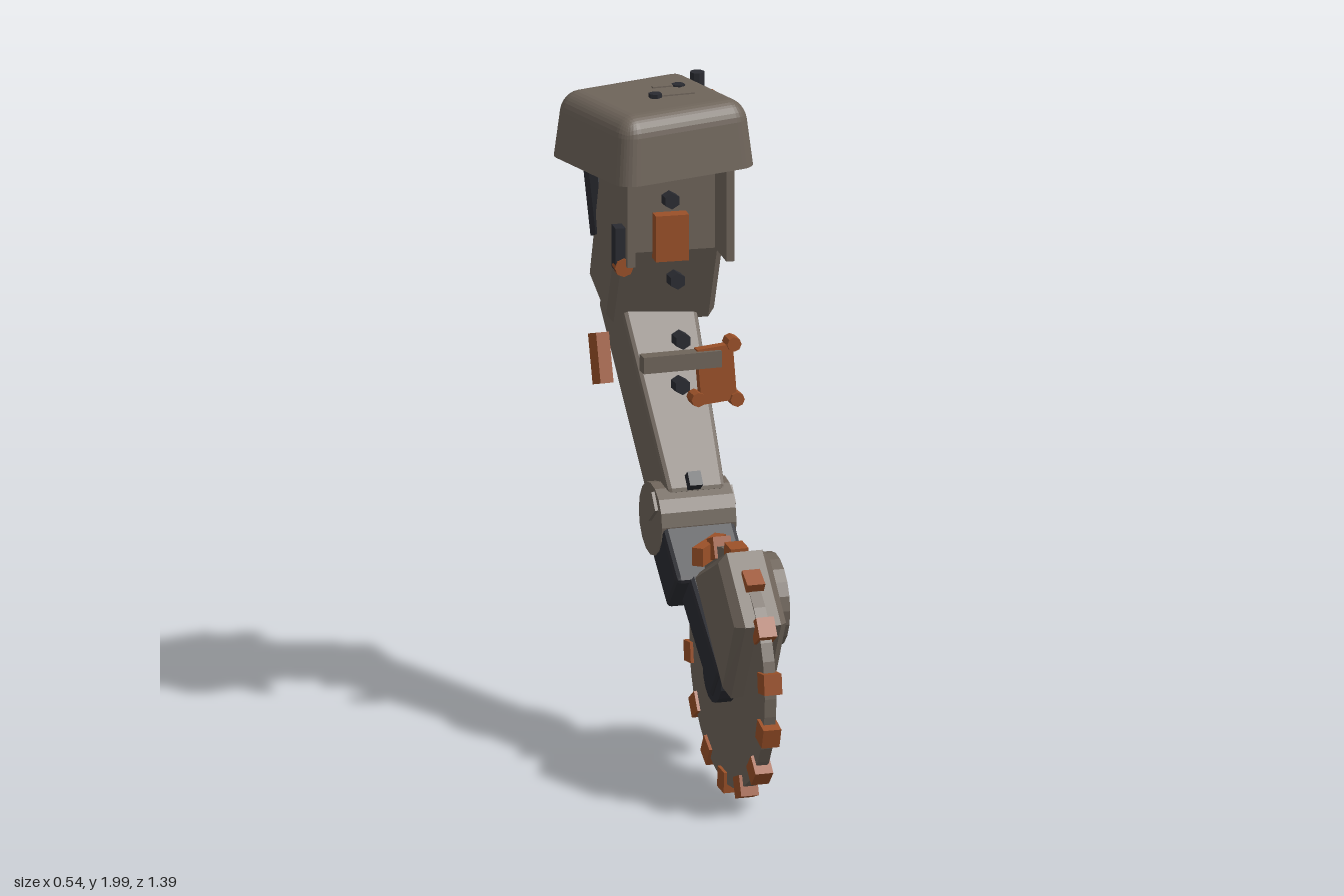
import * as THREE from 'three';
import { RoundedBoxGeometry } from 'three/addons/geometries/RoundedBoxGeometry.js';

const mat = (color, flatShading = true) => new THREE.MeshStandardMaterial({ color, flatShading });
const GREY = mat(0x6e645a), SMOOTH = mat(0x6e645a, false);
const DARK = mat(0x2a2b31), ORANGE = mat(0x9a5028);

export function createModel() {
  const root = new THREE.Group();

  const add = (name, geo, material, pos = [0, 0, 0], rot = [0, 0, 0], parent = root) => {
    const m = new THREE.Mesh(geo, material);
    m.name = name;
    m.position.set(...pos);
    m.rotation.set(...rot);
    parent.add(m);
    return m;
  };
  const box = (name, material, size, pos, rot, parent) =>
    add(name, new THREE.BoxGeometry(...size), material, pos, rot, parent);

  // Cylinder along a chosen axis
  const cyl = (name, material, r, len, axis, pos, sides = 20, parent = root) => {
    const g = new THREE.CylinderGeometry(r, r, len, sides);
    if (axis === 'x') g.rotateZ(Math.PI / 2);
    if (axis === 'z') g.rotateX(Math.PI / 2);
    return add(name, g, material, pos, [0, 0, 0], parent);
  };

  // Side profile given as [z, y] points, extruded along x with a bevel
  const profile = (name, material, pts, x0, x1, bevel, parent = root) => {
    const shape = new THREE.Shape(pts.map(([z, y]) => new THREE.Vector2(-z, y)));
    const g = new THREE.ExtrudeGeometry(shape, {
      depth: x1 - x0 - 2 * bevel, bevelEnabled: bevel > 0, bevelSize: bevel,
      bevelThickness: bevel, bevelOffset: -bevel, bevelSegments: 1,
    });
    g.rotateY(Math.PI / 2);
    return add(name, g, material, [x0 + bevel, 0, 0], [0, 0, 0], parent);
  };

  // Beam between two [z, y] points, with a width at each end
  const beam = (name, material, a, b, x, wA, wB, thick, bevel = 0.015) => {
    const dz = b[0] - a[0], dy = b[1] - a[1], len = Math.hypot(dz, dy);
    const g = new RoundedBoxGeometry(1, len, thick, 1, bevel);
    const p = g.attributes.position;
    for (let i = 0; i < p.count; i++) {
      const t = p.getY(i) / len + 0.5, w = wA + (wB - wA) * t;
      // keep the bevel the same size while the width changes
      const s = Math.sign(p.getX(i));
      p.setX(i, s * (w / 2 - (0.5 - Math.abs(p.getX(i)))));
    }
    g.computeVertexNormals();
    return add(name, g, material, [x, (a[1] + b[1]) / 2, (a[0] + b[0]) / 2], [Math.atan2(dz, dy), 0, 0]);
  };

  // Saw blade with square teeth
  const BX = 0.046, BY = 0.395, BZ = 0.302;
  const blade = new THREE.Group();
  blade.name = 'sawBlade';
  blade.position.set(BX, BY, BZ);
  root.add(blade);
  cyl('bladeDisc', GREY, 0.357, 0.036, 'x', [0, 0, 0], 40, blade);
  for (let i = 0; i < 14; i++) {
    const a = (i / 14) * Math.PI * 2 - 0.09;
    box('tooth', ORANGE, [0.055, 0.064, 0.062],
      [0, -Math.cos(a) * 0.352, Math.sin(a) * 0.352], [-a, 0, 0], blade);
  }
  cyl('bladeHub', DARK, 0.09, 0.14, 'x', [BX + 0.005, 0.385, 0.305], 16);

  // Blade guard
  profile('bladeGuard', GREY,
    [[0.414, 0.78], [0.16, 0.65], [0.456, 0.347], [0.594, 0.6]], -0.035, 0.125, 0.025);

  // Wrist and blade arm
  beam('bladeArm', DARK, [0.35, 0.355], [-0.05, 0.67], 0.046, 0.145, 0.145, 0.125);
  beam('wristBlock', DARK, [0.07, 0.56], [-0.12, 0.73], 0.046, 0.225, 0.225, 0.15);
  cyl('motor', GREY, 0.14, 0.17, 'x', [0.185, 0.505, 0.018], 20);
  box('handleBar', ORANGE, [0.17, 0.055, 0.035], [0.025, 0.71, 0.14], [0, 0.85, 0]);

  // Elbow joint with collar and pins
  cyl('elbowJoint', GREY, 0.11, 0.23, 'x', [0.046, 0.74, -0.125], 16);
  box('elbowCollar', GREY, [0.25, 0.06, 0.08], [0.046, 0.785, -0.1], [-0.65, 0, 0]);
  box('elbowPin', DARK, [0.04, 0.045, 0.045], [0.046, 0.86, -0.07], [-0.65, 0, 0]);
  box('elbowPin', DARK, [0.04, 0.05, 0.045], [0.155, 0.775, -0.15], [-0.65, 0, 0]);
  box('elbowPin', DARK, [0.12, 0.05, 0.045], [0.05, 0.695, -0.23], [-0.65, 0, 0]);

  // Forearm and the plate on its back
  beam('forearm', GREY, [-0.14, 0.77], [-0.56, 1.32], 0.055, 0.18, 0.24, 0.2);
  box('forearmPlate', ORANGE, [0.04, 0.15, 0.08], [-0.09, 1.12, -0.53], [-0.3, 0, 0]);
  box('kneeHinge', DARK, [0.05, 0.13, 0.05], [0.05, 1.285, -0.645], [-0.6, 0, 0]);
  cyl('kneePin', DARK, 0.045, 0.2, 'x', [0.055, 1.31, -0.61], 10);

  // Upper arm, turned slightly, with cheek plates
  const upper = new THREE.Group();
  upper.name = 'upperArm';
  upper.position.set(0.055, 0, -0.4);
  upper.rotation.y = -0.09;
  root.add(upper);
  const back = [[-0.035, 1.94], [0.1, 1.9], [0.1, 1.5], [-0.02, 1.255], [-0.27, 1.33]];
  profile('upperArmBody', GREY, back, -0.16, 0.165, 0.02, upper);
  const cheek = [[0.06, 1.86], [0.25, 1.8], [0.25, 1.5], [0.06, 1.5]];
  profile('cheekPlate', GREY, cheek, -0.16, -0.135, 0, upper);
  profile('cheekPlate', GREY, cheek, 0.138, 0.163, 0, upper);
  box('frontBox', ORANGE, [0.1, 0.14, 0.05], [0.0, 1.55, 0.12], [0, 0, 0], upper);
  box('cheekClip', DARK, [0.03, 0.13, 0.05], [-0.175, 1.55, 0.2], [0, 0, 0], upper);
  cyl('cheekKnob', ORANGE, 0.028, 0.04, 'z', [-0.165, 1.495, 0.21], 8, upper);
  cyl('backCanister', DARK, 0.052, 0.19, 'y', [-0.05, 1.57, -0.62], 12).rotation.x = -0.35;
  cyl('shoulderKnob', ORANGE, 0.033, 0.08, 'x', [0.205, 1.89, -0.485], 10);
  cyl('shoulderPost', DARK, 0.022, 0.12, 'y', [0.175, 1.94, -0.43], 8);
  cyl('sidePost', DARK, 0.035, 0.07, 'y', [-0.13, 1.76, -0.48], 8);

  // Hood: rounded on top, flat below, narrowing upwards
  const hood = new RoundedBoxGeometry(0.47, 0.4, 0.44, 4, 0.06);
  const hp = hood.attributes.position;
  for (let i = 0; i < hp.count; i++) {
    const y = Math.max(hp.getY(i), 0);
    const k = 1 - 0.45 * y;
    hp.setXYZ(i, hp.getX(i) * k, y, hp.getZ(i) * k);
  }
  // the lower corners were squashed flat, so stretch them out to the rim
  hood.computeVertexNormals();
  add('hood', hood, SMOOTH, [-0.007, 1.787, -0.287], [0, 0.225, 0]);
  cyl('hoodBolt', DARK, 0.02, 0.025, 'y', [-0.012, 1.987, -0.255], 6);
  cyl('hoodBolt', DARK, 0.02, 0.015, 'y', [0.09, 1.985, -0.35], 6);
  for (const z of [-0.35, -0.26])
    box('hoodSlot', GREY, [0.1, 0.012, 0.012], [0.06, 1.985, z]);

  // Row of bolts along the front
  for (const [y, z] of [[1.66, -0.29], [1.43, -0.235], [1.26, -0.185], [1.12, -0.19]])
    cyl('frontBolt', DARK, 0.025, 0.045, 'z', [0.045, y, z], 6);
  add('forearmStud', new THREE.ConeGeometry(0.025, 0.03, 4), DARK, [0.04, 0.985, -0.2]);

  // Cross bar and clamp in front of the forearm
  box('crossBar', GREY, [0.24, 0.05, 0.045], [0.05, 1.19, -0.205]);
  box('clampPlate', ORANGE, [0.11, 0.17, 0.03], [0.16, 1.14, -0.21], [0, 0, 0.08]);
  for (const [x, y] of [[0.1, 1.07], [0.22, 1.06], [0.21, 1.23]])
    cyl('clampStud', ORANGE, 0.022, 0.05, 'z', [x, y, -0.21], 8);

  return root;
}
